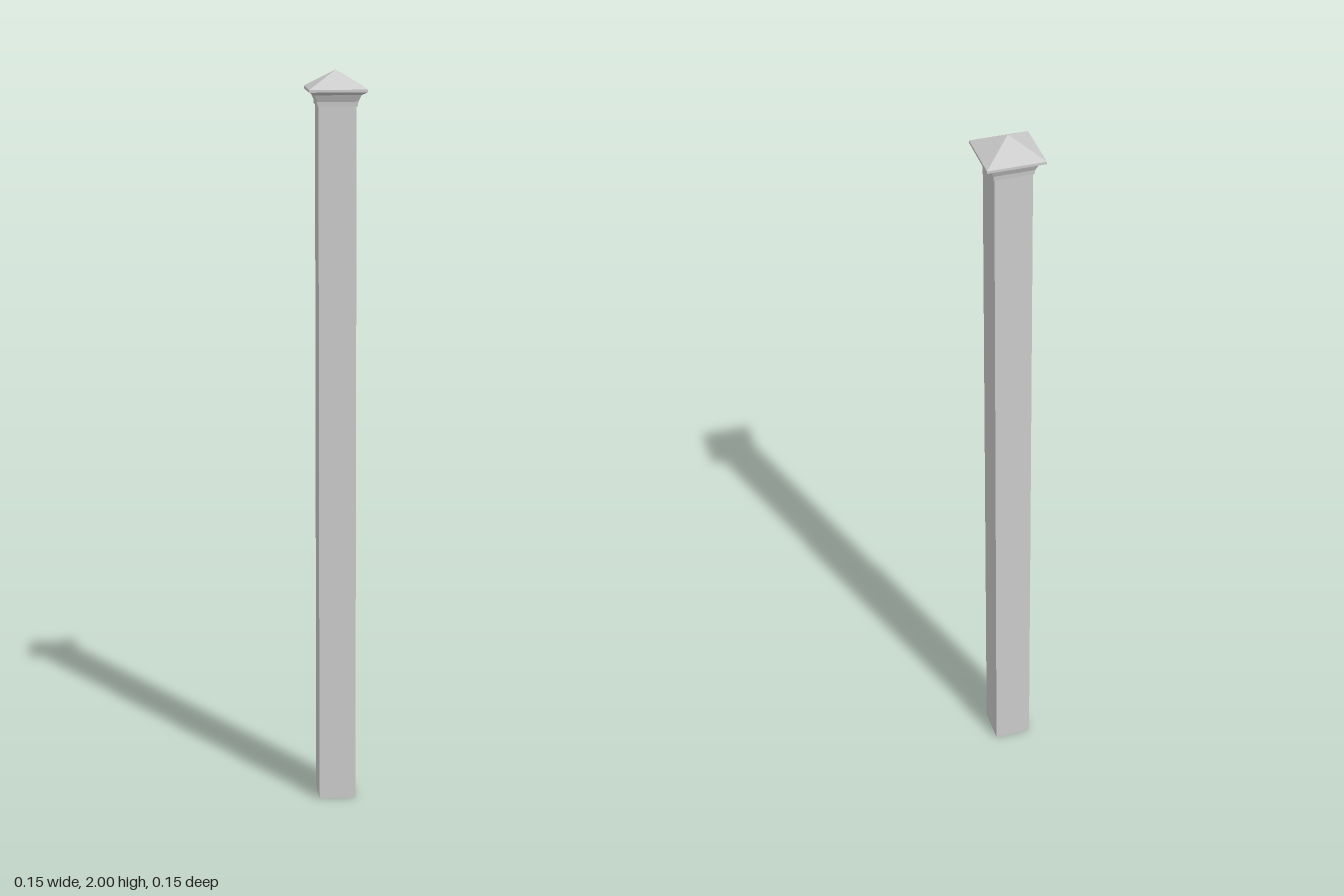
import * as THREE from 'three';

const material = new THREE.MeshStandardMaterial({ color: 0xcccccc, flatShading: true });

// Square frustum between two heights; half-widths at the bottom and top.
function frustum(name, y0, y1, half0, half1) {
  const geometry = new THREE.CylinderGeometry(half1 * Math.SQRT2, half0 * Math.SQRT2, y1 - y0, 4);
  geometry.rotateY(Math.PI / 4);
  geometry.translate(0, (y0 + y1) / 2, 0);
  const mesh = new THREE.Mesh(geometry, material);
  mesh.name = name;
  return mesh;
}

export function createModel() {
  const group = new THREE.Group();
  group.name = 'squarePost';

  // Shaft
  group.add(frustum('shaft', 0, 1.93, 0.05, 0.05));

  // Cap: flared collar, thin eave and pyramid roof
  const cap = new THREE.Group();
  cap.name = 'cap';
  cap.add(
    frustum('collar', 1.908, 1.92, 0.053, 0.054),
    frustum('collarFlare', 1.92, 1.938, 0.054, 0.062),
    frustum('eaveUnderside', 1.938, 1.946, 0.062, 0.077),
    frustum('eaveEdge', 1.946, 1.953, 0.077, 0.077),
    frustum('capRoof', 1.953, 2, 0.077, 0),
  );
  group.add(cap);
  return group;
}
